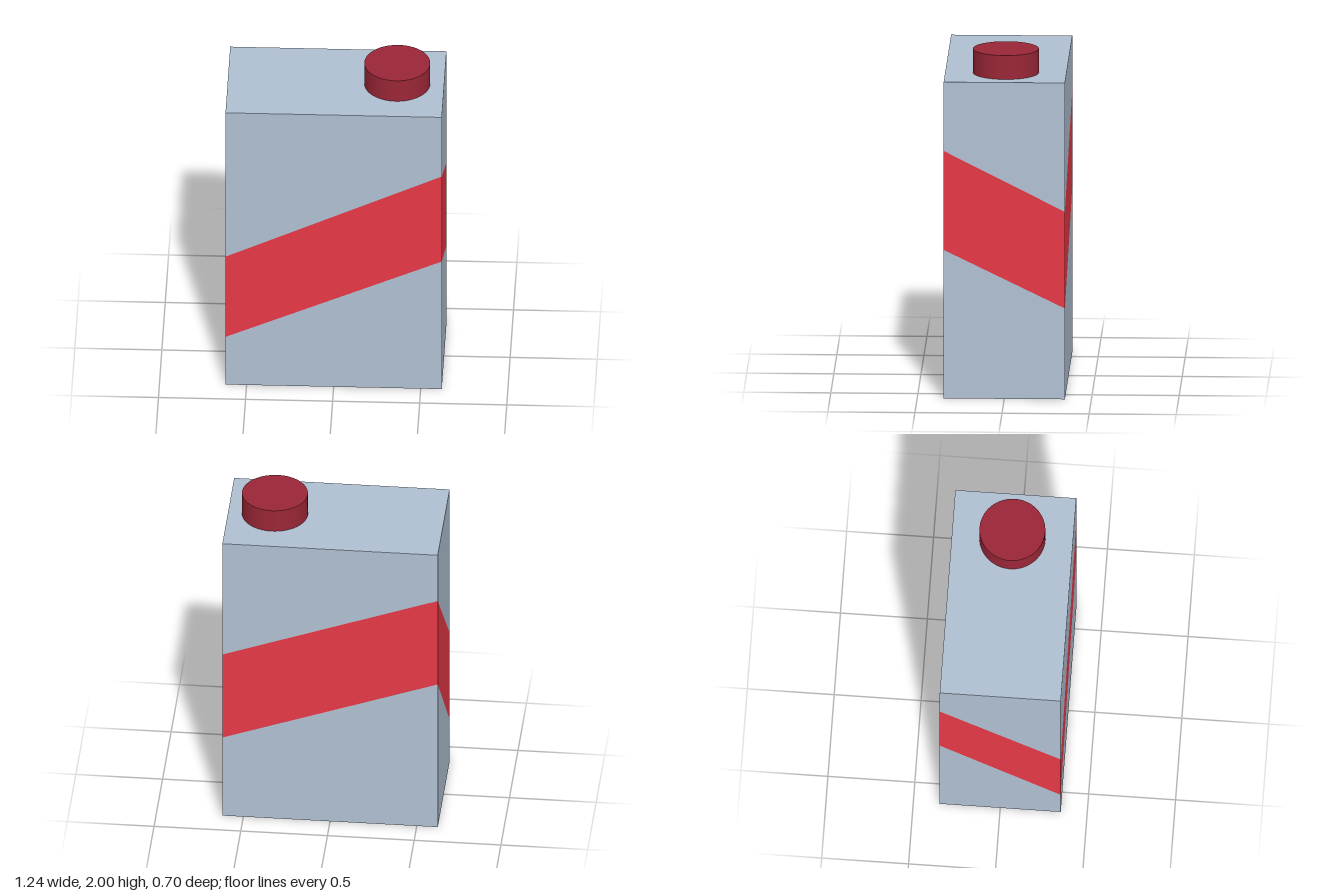
import * as THREE from 'three';

const W = 0.621, D = 0.348, H = 1.86;

function material(name, color) {
  const m = new THREE.MeshStandardMaterial({ color });
  m.name = name;
  return m;
}

// Upright four-sided panel: bottom and top heights at its start and end corners
function panel(name, mat, a, b, [a0, a1], [b0, b1]) {
  const g = new THREE.BufferGeometry();
  g.setAttribute('position', new THREE.Float32BufferAttribute([
    a[0], a0, a[1], b[0], b0, b[1], b[0], b1, b[1], a[0], a1, a[1],
  ], 3));
  g.setIndex([0, 1, 2, 0, 2, 3]);
  g.computeVertexNormals();
  const mesh = new THREE.Mesh(g, mat);
  mesh.name = name;
  return mesh;
}

export function createModel() {
  const steel = material('blue grey', 0xb0c0d2);
  const red = material('red', 0xe63946);
  const darkRed = material('dark red', 0x9b2637);

  const model = new THREE.Group();
  model.name = 'canister';

  // Corners run anticlockwise seen from above; each wall has its own band heights
  const corners = [[-W, D], [W, D], [W, -D], [-W, -D]];
  const walls = [
    { name: 'front', start: [0.326, 0.875], end: [0.873, 1.455] },
    { name: 'left', start: [0.873, 1.455], end: [0.534, 1.102] },
    { name: 'back', start: [0.534, 1.102], end: [0.976, 1.547] },
    { name: 'right', start: [0.976, 1.547], end: [0.287, 0.88] },
  ];
  walls.forEach(({ name, start, end }, i) => {
    const a = corners[i], b = corners[(i + 1) % 4];
    const wall = new THREE.Group();
    wall.name = name + 'Wall';
    wall.add(
      panel(name + 'LowerPanel', steel, a, b, [0, start[0]], [0, end[0]]),
      panel(name + 'Band', red, a, b, start, end),
      panel(name + 'UpperPanel', steel, a, b, [start[1], H], [end[1], H]),
    );
    model.add(wall);
  });

  // Top and base
  for (const [name, y, turn] of [['top', H, -1], ['base', 0, 1]]) {
    const plate = new THREE.Mesh(new THREE.PlaneGeometry(2 * W, 2 * D), steel);
    plate.name = name;
    plate.rotation.x = turn * Math.PI / 2;
    plate.position.y = y;
    model.add(plate);
  }

  // Screw cap
  const cap = new THREE.Mesh(new THREE.CylinderGeometry(0.189, 0.189, 2 - H, 64), darkRed);
  cap.name = 'cap';
  cap.position.set(0.352, (2 + H) / 2, 0);
  model.add(cap);

  return model;
}
